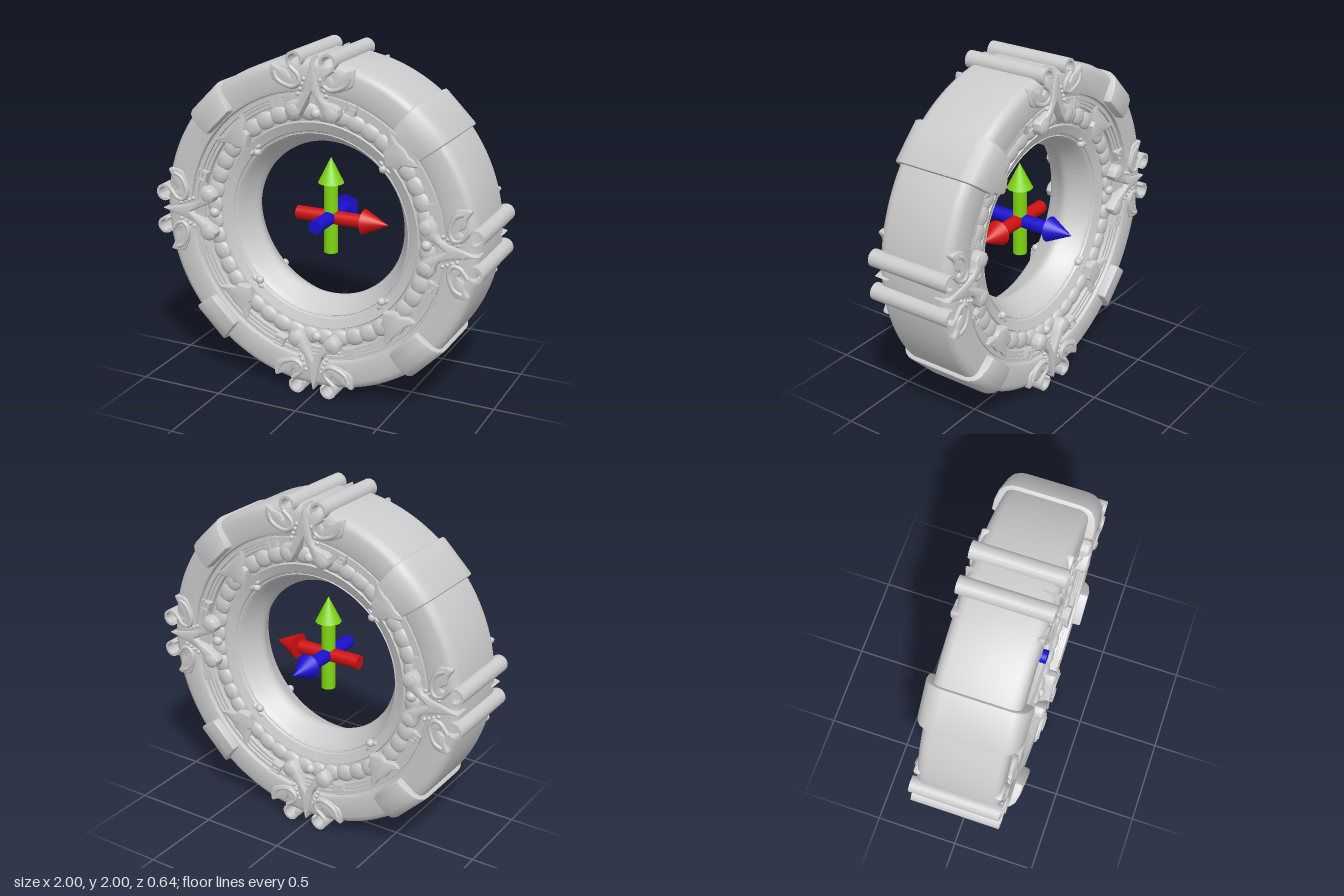
import * as THREE from 'three';
import { toCreasedNormals } from 'three/addons/utils/BufferGeometryUtils.js';

const grey = new THREE.MeshStandardMaterial({ color: 0xcccccc });
const V2 = (p) => new THREE.Vector2(p[0], p[1]);

function add(parent, name, geo, mat = grey) {
  const mesh = new THREE.Mesh(geo, mat);
  mesh.name = name;
  parent.add(mesh);
  return mesh;
}

// Extrude an outline from z0 to z1 with a small bevel
function slab(points, z0, z1, bevel = 0.012, smooth = true) {
  const shape = new THREE.Shape();
  const pts = points.map(V2);
  if (smooth) shape.setFromPoints(new THREE.SplineCurve([...pts, pts[0]]).getPoints(points.length * 4).slice(0, -1));
  else shape.setFromPoints(pts);
  const geo = new THREE.ExtrudeGeometry(shape, {
    depth: z1 - z0 - bevel * 2, bevelThickness: bevel, bevelSize: bevel, bevelOffset: -bevel, bevelSegments: 2,
  });
  geo.translate(0, 0, z0 + bevel);
  return toCreasedNormals(geo, 0.7);
}

function tube(points, radius, z) {
  const curve = new THREE.CatmullRomCurve3(points.map(([x, y]) => new THREE.Vector3(x, y, z)));
  return new THREE.TubeGeometry(curve, 32, radius, 8);
}

function ball(r, x, y, z, sx = 1, sy = 1, sz = 1) {
  return new THREE.SphereGeometry(r, 14, 10).scale(sx, sy, sz).translate(x, y, z);
}

const mirror = (pts) => pts.map(([x, y]) => [-x, y]).reverse();

// Ring body: half profile (radius, depth) from rim to flared bore, mirrored
function ringBody() {
  const half = [
    [0.956, 0], [0.956, 0.18], [0.95, 0.205], [0.935, 0.225], [0.91, 0.235], [0.8, 0.237], [0.785, 0.232],
    [0.78, 0.212], [0.77, 0.21], [0.768, 0.22], [0.752, 0.22], [0.75, 0.208], [0.735, 0.208], [0.733, 0.2],
    [0.715, 0.2], [0.712, 0.178], [0.605, 0.165], [0.6, 0.176], [0.55, 0.156], [0.545, 0.146], [0.536, 0.143],
    [0.533, 0.148], [0.524, 0.138], [0.508, 0.11], [0.49, 0.075], [0.472, 0.043], [0.46, 0.02], [0.455, 0],
  ];
  const back = half.slice(0, -1).reverse().map(([r, z]) => [r, -z]);
  const geo = new THREE.LatheGeometry([...half, ...back].map(V2), 128).rotateX(Math.PI / 2);
  return toCreasedNormals(geo, 0.6);
}

// Clamp straddling the rim, tapering toward the bore
function clamp() {
  const side = [[0.79, 0.265], [0.798, 0.285], [0.86, 0.283], [0.92, 0.268], [0.95, 0.245], [0.967, 0.21], [0.972, 0.17]];
  const outline = [...side.map(([r, z]) => [r, -z]), ...side.slice().reverse()];
  const geo = slab(outline, -0.13, 0.13, 0.012, false).rotateX(Math.PI / 2);
  const p = geo.attributes.position;
  for (let i = 0; i < p.count; i++) p.setY(i, p.getY(i) * p.getX(i) / 0.97);
  return toCreasedNormals(geo, 0.7);
}

// Rolled sheet across the rim: an open C section
function rolledBar(s) {
  const shape = new THREE.Shape();
  shape.absarc(0, 0, 0.049, -0.9, Math.PI + 0.5, false);
  shape.absarc(0, 0, 0.034, Math.PI + 0.5, -0.9, true);
  const geo = new THREE.ExtrudeGeometry(shape, { depth: 0.514, bevelEnabled: false, curveSegments: 20 });
  geo.translate(0, 0, -0.257);
  if (s < 0) geo.rotateY(Math.PI);
  return toCreasedNormals(geo.translate(s * 0.1, 0.951, 0), 0.6);
}

// Ornament at the top of one face: forked spear, curls and leaves
function crest() {
  const g = new THREE.Group();
  g.name = 'crest';
  const leg = [[0.02, 0.9], [0.042, 0.81], [0.06, 0.755], [0.09, 0.728], [0.128, 0.725], [0.158, 0.7],
    [0.162, 0.665], [0.142, 0.632], [0.108, 0.62], [0.077, 0.638], [0.05, 0.69], [0.022, 0.745]];
  add(g, 'forkedSpear', slab([[0, 0.97], ...leg, [0, 0.785], ...mirror(leg)], 0.15, 0.25, 0.014, false));
  add(g, 'spearStud', ball(0.032, 0, 0.655, 0.185));
  const leaf = [[0.075, 0.865], [0.1, 0.895], [0.125, 0.86], [0.15, 0.89], [0.195, 0.9], [0.245, 0.92],
    [0.245, 0.84], [0.19, 0.805], [0.13, 0.788], [0.08, 0.8], [0.06, 0.83]];
  const curl = [[0.13, 0.915], [0.105, 0.895], [0.078, 0.87], [0.072, 0.83], [0.11, 0.805], [0.165, 0.815],
    [0.205, 0.84], [0.225, 0.88]];
  for (const s of [1, -1]) {
    const flip = (pts) => (s > 0 ? pts : mirror(pts));
    add(g, 'legKnob', ball(0.045, s * 0.113, 0.672, 0.24, 1, 1, 0.4));
    add(g, 'leaf', slab(flip(leaf), 0.2, 0.248));
    add(g, 'curl', tube(flip(curl), 0.013, 0.245));
    for (let i = 0; i < 4; i++)
      add(g, 'sideBead', ball(0.012, s * (0.048 + i * 0.012), 0.85 - i * 0.028, 0.235));
  }
  return g;
}

// Small square spiral tile on the stepped band
function tile() {
  const g = new THREE.Group();
  g.name = 'spiralTile';
  add(g, 'tileBase', new THREE.BoxGeometry(0.065, 0.06, 0.03).translate(0, 0.742, 0.208));
  for (const [w, h, x, y] of [[0.06, 0.01, 0, 0.767], [0.01, 0.05, -0.025, 0.742], [0.06, 0.01, 0, 0.717],
    [0.01, 0.03, 0.025, 0.732], [0.03, 0.01, 0.01, 0.745]])
    add(g, 'tileRidge', new THREE.BoxGeometry(w, h, 0.012).translate(x, y, 0.226));
  return g;
}

// Barbed arrowhead and bore clasp, placed on the diagonals
function barb() {
  const g = new THREE.Group();
  g.name = 'barb';
  const right = [[0.05, 0.735], [0.132, 0.757], [0.108, 0.715], [0.06, 0.672], [0.062, 0.64]];
  add(g, 'arrowhead', slab([[0, 0.745], ...right, [0, 0.595], ...mirror(right)], 0.14, 0.222, 0.01, false));
  add(g, 'claspKnob', ball(0.024, 0, 0.543, 0.155));
  for (const s of [1, -1]) add(g, 'claspWing', ball(0.018, s * 0.028, 0.56, 0.158, 1.2, 0.7, 0.7));
  return g;
}

// All ornament on one face
function faceDecor() {
  const g = new THREE.Group();
  g.name = 'faceOrnament';
  const place = (part, angle) => {
    part.rotation.z = angle;
    g.add(part);
  };
  for (let q = 0; q < 4; q++) {
    const a = q * Math.PI / 2;
    place(crest(), a);
    place(barb(), a + Math.PI / 4);
    for (const s of [1, -1]) place(tile(), a + s * 0.305);
  }
  // Overlapping flattened beads in the recess
  const count = 44;
  for (let i = 0; i < count; i++) {
    const bead = add(g, 'bandBead', ball(0.05, 0, 0.66, 0.172, 1.3, 1, 0.5));
    bead.rotation.z = ((i + 0.5) / count) * Math.PI * 2;
  }
  return g;
}

// One arrow pointing along +y
function arrow(name, color) {
  const g = new THREE.Group();
  g.name = name;
  const mat = new THREE.MeshStandardMaterial({ color });
  add(g, 'shaft', new THREE.CylinderGeometry(0.04, 0.04, 0.4, 24).translate(0, -0.01, 0), mat);
  add(g, 'tip', new THREE.ConeGeometry(0.074, 0.15, 24).translate(0, 0.28, 0), mat);
  return g;
}

export function createModel() {
  const model = new THREE.Group();
  model.name = 'ornateRing';
  const ring = new THREE.Group();
  ring.name = 'ring';
  ring.position.set(0, 1, 0.035);
  model.add(ring);
  add(ring, 'ringBody', ringBody());

  const front = faceDecor();
  const back = front.clone();
  back.rotation.y = Math.PI;
  ring.add(front, back);

  // Rim clamps on the diagonals, paired rolled bars at the quarter points
  for (let q = 0; q < 4; q++) {
    add(ring, 'rimClamp', clamp()).rotation.z = Math.PI / 4 + q * Math.PI / 2;
    for (const s of [1, -1]) add(ring, 'rimBar', rolledBar(s)).rotation.z = q * Math.PI / 2;
  }

  // Three axis arrows in the middle of the bore
  const axes = new THREE.Group();
  axes.name = 'axisArrows';
  axes.position.set(0, 1.01, 0.035);
  const red = arrow('redArrow', 0xd01010);
  red.rotation.z = -Math.PI / 2;
  const green = arrow('greenArrow', 0x7fd610);
  const blue = arrow('blueArrow', 0x1a10d0);
  blue.rotation.x = -Math.PI / 2;
  axes.add(red, green, blue);
  model.add(axes);
  return model;
}
